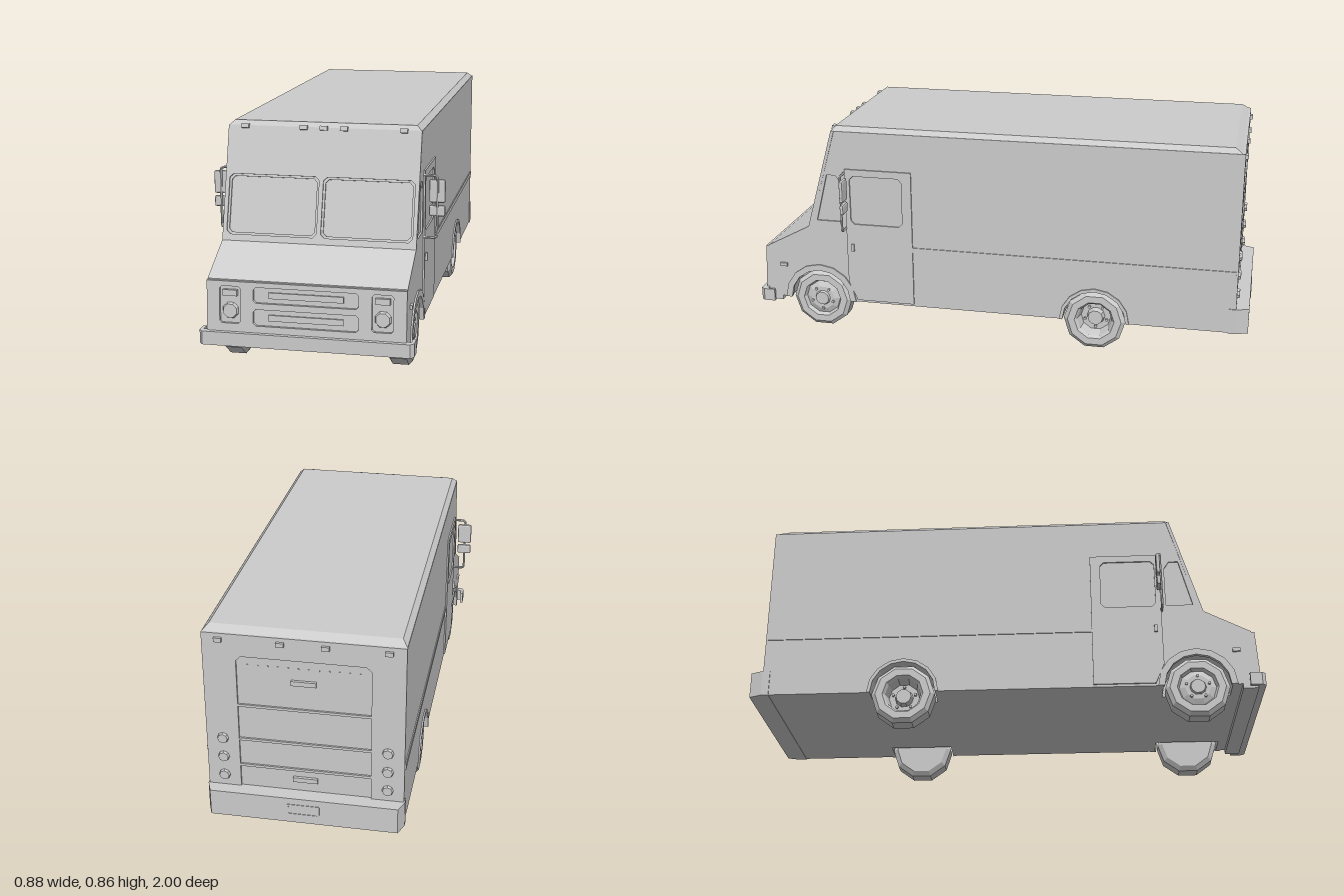
import * as THREE from 'three';
import { ConvexGeometry } from 'three/addons/geometries/ConvexGeometry.js';
import { RoundedBoxGeometry } from 'three/addons/geometries/RoundedBoxGeometry.js';

const grey = new THREE.MeshStandardMaterial({ color: 0xcccccc, flatShading: true, side: THREE.DoubleSide });

function add(parent, name, geo, x = 0, y = 0, z = 0) {
  const mesh = new THREE.Mesh(geo, grey);
  mesh.name = name;
  mesh.position.set(x, y, z);
  parent.add(mesh);
  return mesh;
}
const box = (w, h, d) => new THREE.BoxGeometry(w, h, d);
const vecs = (pts) => pts.map(([x, y]) => new THREE.Vector2(x, y));

function extrude(pts, depth, holes = []) {
  const shape = new THREE.Shape(vecs(pts));
  holes.forEach((h) => shape.holes.push(new THREE.Path(vecs(h))));
  return new THREE.ExtrudeGeometry(shape, { depth, bevelEnabled: false });
}
// Side-view outline of (z, y) points, filling x from x0 to x1; s = -1 mirrors it
function slab(pts, x0, x1, holes, s = 1) {
  const geo = extrude(pts, x1 - x0, holes).rotateY(-Math.PI / 2);
  return geo.translate(s > 0 ? x1 : -x0, 0, 0);
}
// Rectangle with cut corners
function cham(x0, y0, x1, y1, c = 0.01) {
  return [[x0 + c, y0], [x1 - c, y0], [x1, y0 + c], [x1, y1 - c],
    [x1 - c, y1], [x0 + c, y1], [x0, y1 - c], [x0, y0 + c]];
}
// Block between two rectangles [x, z0, z1] at heights y0 and y1
function frustum([ax, a0, a1], y0, [bx, b0, b1], y1) {
  const pts = [];
  for (const s of [-1, 1]) {
    pts.push(new THREE.Vector3(s * ax, y0, a0), new THREE.Vector3(s * ax, y0, a1));
    pts.push(new THREE.Vector3(s * bx, y1, b0), new THREE.Vector3(s * bx, y1, b1));
  }
  return new ConvexGeometry(pts);
}
const AXLES = [{ z: 0.745, arch: 0.152 }, { z: -0.395, arch: 0.14 }];
const WHEEL_Y = 0.118;
const FLOOR = 0.12;

// Half ring of points over a wheel, from front to back
function arc(z, r) {
  return Array.from({ length: 9 }, (_, i) => {
    const a = (i / 8) * Math.PI;
    return [z + r * Math.cos(a), FLOOR + r * Math.sin(a)];
  });
}

function addBody(van) {
  const upper = [[-0.94, FLOOR], [-0.94, 0.843], [0.657, 0.843], [0.771, 0.442],
    [0.785, 0.435], [0.963, 0.341], [0.973, FLOOR]];
  add(van, 'bodyCore', slab(upper, -0.25, 0.25));
  const outline = [...upper, ...arc(AXLES[0].z, 0.132), ...arc(AXLES[1].z, 0.127)];
  const quarter = [[0.64, 0.465], [0.746, 0.465], [0.697, 0.66], [0.66, 0.66], [0.64, 0.63]];
  for (const s of [-1, 1]) {
    add(van, 'sideWall', slab(outline, 0.25, 0.36, [quarter], s));
    add(van, 'quarterWindow', slab(quarter, 0.345, 0.353, [], s));
    for (const { z, arch } of AXLES) {
      const ring = [...arc(z, arch), ...arc(z, 0.127).reverse()];
      add(van, 'wheelArch', slab(ring, 0.35, 0.366, [], s));
    }
    // Door with window, handle and belt moulding
    const door = [[0.345, 0.13], [0.585, 0.13], [0.62, 0.21], [0.62, 0.69], [0.345, 0.69]];
    add(van, 'door', slab(door, 0.358, 0.366, [cham(0.385, 0.46, 0.6, 0.662, 0.015)], s));
    add(van, 'doorHandle', box(0.012, 0.03, 0.012), s * 0.369, 0.36, 0.595);
    add(van, 'beltMoulding', box(0.006, 0.02, 1.285), s * 0.361, 0.365, -0.2975);
    add(van, 'sideMarker', box(0.012, 0.014, 0.03), s * 0.363, 0.262, 0.9);
  }
  add(van, 'roof', frustum([0.36, -0.94, 0.67], 0.842, [0.34, -0.91, 0.655], 0.862));
}

// Sloping front panel carrying recessed windows, placed by its lower edge
function addWindshield(van) {
  const g = new THREE.Group();
  g.name = 'windshield';
  g.position.set(0, 0.435, 0.785);
  g.rotation.x = -0.2735;
  const panes = [[-0.345, -0.008], [0.008, 0.345]].map(([a, b]) => [a, b]);
  const holes = panes.map(([a, b]) => cham(a, 0.024, b, 0.246, 0.014));
  add(g, 'windshieldFrame',
    extrude([[-0.36, 0], [0.36, 0], [0.36, 0.426], [-0.36, 0.426]], 0.012, holes), 0, 0, -0.012);
  panes.forEach(([a, b], i) => add(g, 'windowSeal',
    extrude(holes[i], 0.006, [cham(a + 0.008, 0.032, b - 0.008, 0.238, 0.012)]), 0, 0, -0.012));
  for (const x of [-0.295, -0.075, 0, 0.075, 0.295])
    add(g, 'roofMarker', box(0.028, 0.016, 0.016), x, 0.423, 0.004);
  van.add(g);
}

// Nose panel with recessed grilles and lamps
function addNose(van) {
  const g = new THREE.Group();
  g.name = 'nose';
  g.position.set(0, FLOOR, 0.985);
  g.rotation.x = -0.0465;
  const grilles = [[0.06, 0.12], [0.143, 0.2]];
  const holes = grilles.map(([a, b]) => cham(-0.19, a, 0.19, b));
  for (const s of [-1, 1])
    holes.push(cham(s * 0.275 - 0.038, 0.065, s * 0.275 + 0.038, 0.2, 0.008));
  add(g, 'nosePanel',
    extrude([[-0.36, 0], [0.36, 0], [0.36, 0.218], [-0.36, 0.218]], 0.012, holes), 0, 0, -0.012);
  for (const [a, b] of grilles)
    add(g, 'grilleBar', box(0.27, 0.022, 0.008), 0, (a + b) / 2, -0.009);
  for (const s of [-1, 1]) {
    add(g, 'turnSignal', box(0.052, 0.022, 0.016), s * 0.275, 0.176, -0.006);
    const lamp = new THREE.CylinderGeometry(0.026, 0.031, 0.012, 8, 1, false, Math.PI / 8);
    add(g, 'headlight', lamp.rotateX(Math.PI / 2), s * 0.275, 0.11, -0.006);
  }
  van.add(g);

  // Wrap-around front bumper, drawn in plan
  const plan = [[-0.388, 0.94], [-0.388, 0.985], [-0.375, 1], [0.375, 1], [0.388, 0.985],
    [0.388, 0.94], [0.376, 0.94], [0.376, 0.972], [-0.376, 0.972], [-0.376, 0.94]];
  add(van, 'frontBumper', extrude(plan, 0.05).rotateX(Math.PI / 2), 0, 0.155, 0);
  add(van, 'frontValance', box(0.72, 0.02, 0.06), 0, 0.112, 0.945);
}

function addRear(van) {
  const back = -0.94;
  // Raised frame around the roll-up door
  const opening = [[-0.24, 0.22], [0.24, 0.22], [0.24, 0.74], [0.222, 0.758], [-0.222, 0.758], [-0.24, 0.74]];
  add(van, 'rearFrame',
    extrude([[-0.36, 0.2], [0.36, 0.2], [0.36, 0.843], [-0.36, 0.843]], 0.01, [opening]), 0, 0, back - 0.008);
  for (const y of [0.56, 0.42, 0.31])
    add(van, 'rearDoorRib', box(0.48, 0.01, 0.01), 0, y, back - 0.002);
  for (const y of [0.67, 0.27])
    add(van, 'rearDoorHandle', box(0.09, 0.018, 0.014), 0, y, back - 0.004);
  for (let i = 0; i < 12; i++)
    add(van, 'doorRivet', box(0.005, 0.005, 0.004), -0.2 + (i * 0.4) / 11, 0.725, back - 0.001);
  for (const x of [-0.3, -0.08, 0.08, 0.3])
    add(van, 'rearMarker', box(0.028, 0.016, 0.012), x, 0.82, back - 0.012);
  for (const s of [-1, 1])
    for (const y of [0.42, 0.342, 0.264]) {
      const lamp = new THREE.CylinderGeometry(0.022, 0.018, 0.012, 8).rotateX(Math.PI / 2);
      add(van, 'tailLight', lamp, s * 0.3, y, back - 0.012);
    }
  // Rear bumper, tapering backwards, with a plate mount
  const plan = [[-0.364, -0.92], [0.364, -0.92], [0.364, -0.95], [0.345, -0.998], [-0.345, -0.998], [-0.364, -0.95]];
  add(van, 'rearBumper', extrude(plan, 0.102).rotateX(Math.PI / 2), 0, 0.22, 0);
  add(van, 'plateMount', extrude(cham(-0.06, 0.15, 0.06, 0.195, 0.002), 0.003,
    [cham(-0.054, 0.156, 0.054, 0.189, 0.002)]), 0, 0, -1);
}

function addWheels(van) {
  const tyre = [[0.078, -0.043], [0.105, -0.043], [0.124, -0.03], [0.124, 0.03], [0.108, 0.043], [0.08, 0.043]];
  const rims = [
    [[0.08, 0.043], [0.072, 0.026], [0.05, 0.036], [0.032, 0.036], [0.028, 0.046], [0, 0.046]],
    [[0.08, 0.043], [0.07, 0.03], [0.06, -0.012], [0.036, -0.012], [0.03, 0.012], [0, 0.012]],
  ];
  AXLES.forEach(({ z }, i) => {
    for (const s of [-1, 1]) {
      const wheel = new THREE.Group();
      wheel.name = i ? 'rearWheel' : 'frontWheel';
      wheel.position.set(s * 0.308, WHEEL_Y, z);
      wheel.rotation.z = -s * Math.PI / 2;
      add(wheel, 'tyre', new THREE.LatheGeometry(vecs([[0, -0.043], ...tyre]), 10));
      add(wheel, 'rim', new THREE.LatheGeometry(vecs(rims[i]), 10));
      for (let k = 0; k < 5; k++) {
        const a = (k / 5) * Math.PI * 2;
        add(wheel, 'wheelNut', new THREE.CylinderGeometry(0.006, 0.006, 0.012, 6),
          0.046 * Math.cos(a), i ? -0.008 : 0.037, 0.046 * Math.sin(a));
      }
      van.add(wheel);
    }
  });
}

function addMirrors(van) {
  for (const s of [-1, 1]) {
    const path = [[0.355, 0.674], [0.4, 0.674], [0.411, 0.664], [0.411, 0.45], [0.4, 0.441], [0.355, 0.441]];
    const curve = new THREE.CatmullRomCurve3(
      path.map(([x, y]) => new THREE.Vector3(s * x, y, 0.622)), false, 'catmullrom', 0.1);
    add(van, 'mirrorBracket', new THREE.TubeGeometry(curve, 48, 0.005, 6));
    add(van, 'upperMirror', new RoundedBoxGeometry(0.06, 0.088, 0.016, 1, 0.007), s * 0.41, 0.615, 0.612);
    add(van, 'lowerMirror', new RoundedBoxGeometry(0.06, 0.042, 0.016, 1, 0.007), s * 0.41, 0.541, 0.612);
  }
}

export function createModel() {
  const van = new THREE.Group();
  van.name = 'stepVan';
  [addBody, addWindshield, addNose, addRear, addWheels, addMirrors].forEach((build) => build(van));
  return van;
}
